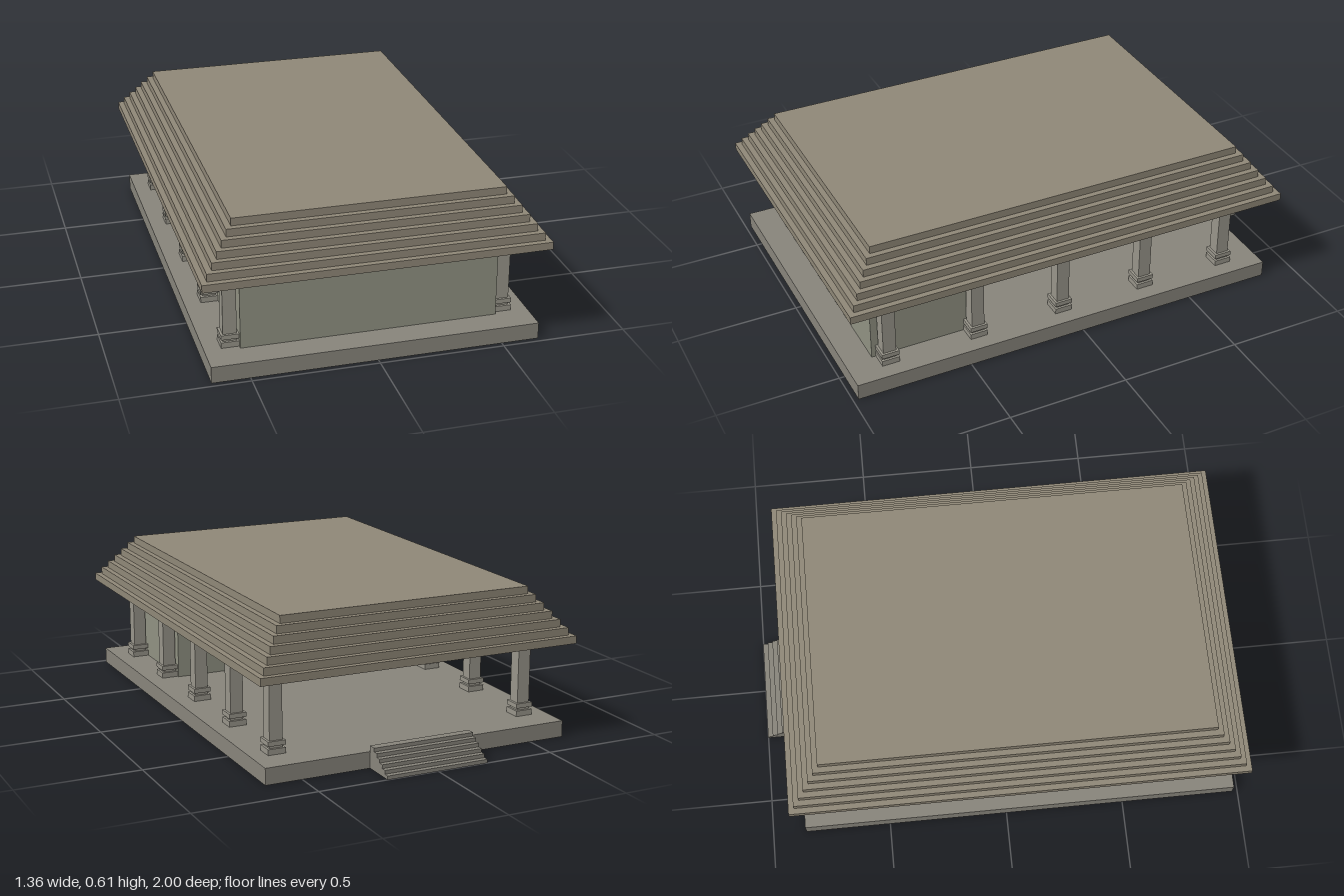
import * as THREE from 'three';

const mat = (color) => new THREE.MeshStandardMaterial({ color });
const roofMat = mat(0x8f8777);
const wallMat = mat(0x909182);
const columnMat = mat(0x98958a);
const stoneMat = mat(0x87847b);
const doorMat = mat(0x1a1815);

// Box given by its centre in x and z and its bottom and top heights
function slab(name, w, d, y0, y1, x, z, material) {
  const mesh = new THREE.Mesh(new THREE.BoxGeometry(w, y1 - y0, d), material);
  mesh.name = name;
  mesh.position.set(x, (y0 + y1) / 2, z);
  return mesh;
}

// Square column with double base and double capital
function makeColumn(x, z) {
  const column = new THREE.Group();
  column.name = 'column';
  column.position.set(x, 0, z);
  column.add(slab('shaft', 0.054, 0.054, 0.067, 0.392, 0, 0, columnMat));
  const rings = [
    ['lowerBase', 0.067, 0.09], ['upperBase', 0.101, 0.12],
    ['lowerCapital', 0.348, 0.366], ['upperCapital', 0.372, 0.392],
  ];
  for (const [name, y0, y1] of rings) {
    column.add(slab(name, 0.073, 0.073, y0, y1, 0, 0, columnMat));
  }
  return column;
}

// Stairs: stepped profile extruded across x
function makeStairs() {
  const steps = 6, rise = 0.015, tread = 0.022, halfWidth = 0.216;
  const shape = new THREE.Shape();
  shape.moveTo(0.855, 0);
  shape.lineTo(1, 0);
  for (let i = 0; i < steps; i++) {
    const out = 1 - i * tread;
    shape.lineTo(out, (i + 1) * rise);
    shape.lineTo(i < steps - 1 ? out - tread : 0.855, (i + 1) * rise);
  }
  const geometry = new THREE.ExtrudeGeometry(shape, { depth: halfWidth * 2, bevelEnabled: false });
  geometry.translate(0, 0, -halfWidth);
  geometry.rotateY(Math.PI / 2);
  const stairs = new THREE.Mesh(geometry, stoneMat);
  stairs.name = 'stairs';
  return stairs;
}

export function createModel() {
  const model = new THREE.Group();
  model.name = 'pavilion';

  // Platform and back stairs
  model.add(slab('platform', 1.3, 1.836, 0, 0.067, 0, 0.06, stoneMat));
  model.add(makeStairs());

  // Closed room at the front with a door facing the open hall
  model.add(slab('room', 1.026, 0.477, 0.067, 0.37, 0, 0.627, wallMat));
  model.add(slab('door', 0.24, 0.012, 0.075, 0.34, 0, 0.385, doorMat));

  // Two rows of five columns
  const columns = new THREE.Group();
  columns.name = 'columns';
  for (const side of [-1, 1]) {
    for (let i = 0; i < 5; i++) columns.add(makeColumn(side * 0.547, 0.812 - i * 0.3775));
  }
  model.add(columns);

  // Stepped roof, each tier inset from the one below
  const roof = new THREE.Group();
  roof.name = 'roof';
  const tiers = 7, height = 0.031, inset = 0.0237;
  for (let i = 0; i < tiers; i++) {
    const y = 0.392 + i * height;
    roof.add(slab('roofTier', 2 * (0.68 - i * inset), 2 * (0.945 - i * inset), y, y + height, 0, 0.055, roofMat));
  }
  model.add(roof);

  return model;
}
